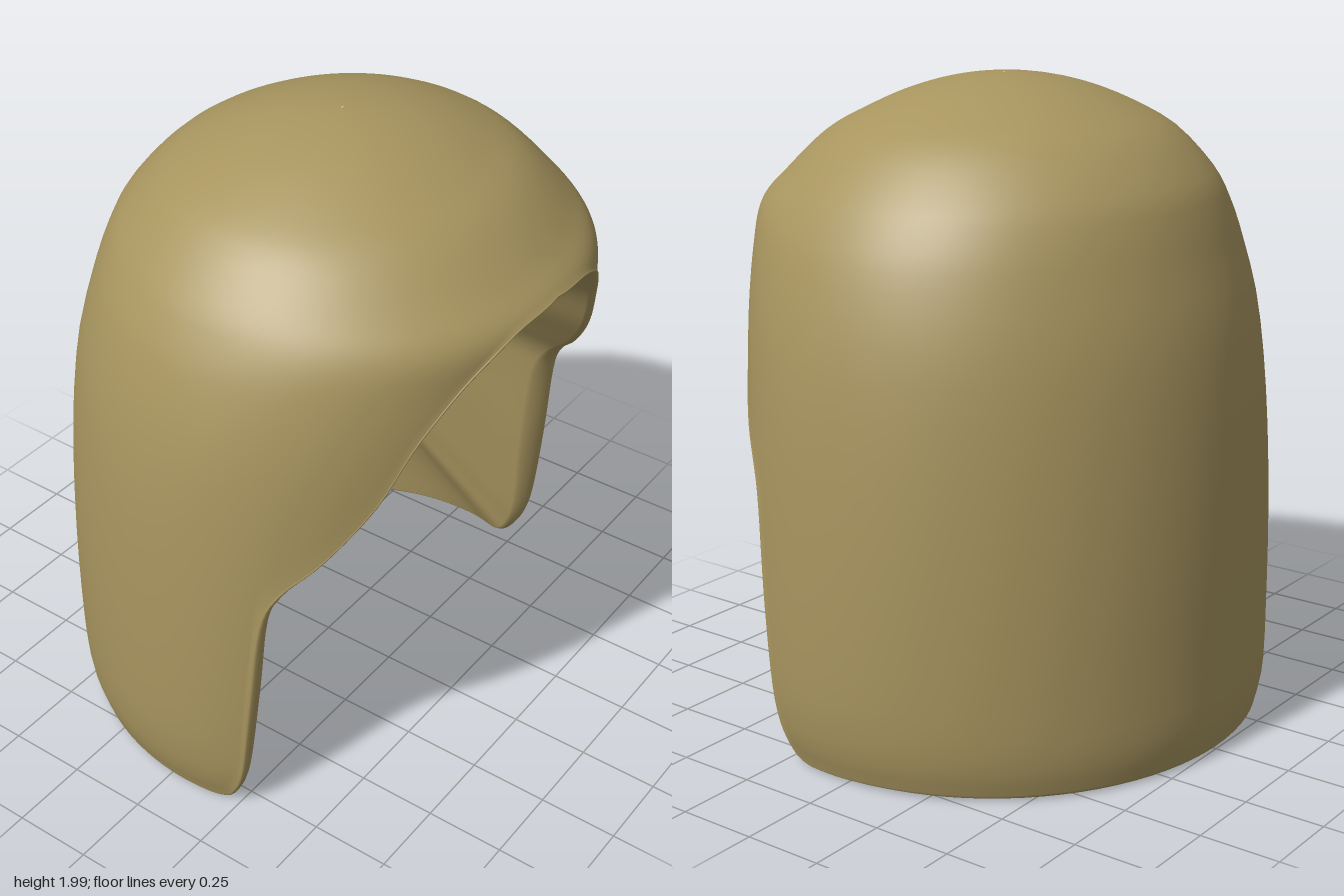
import * as THREE from 'three';

const CZ = 0.05; // z of the dome's axis

// Outer shell sections: height, half width, depth to the back, depth to the front.
// The first row mirrors the third so that the crown is round.
const sections = [
  [1.988, -0.15, -0.14, -0.14], [2.0, 0, 0, 0], [1.988, 0.15, 0.14, 0.14], [1.952, 0.3, 0.275, 0.275],
  [1.895, 0.44, 0.405, 0.405], [1.825, 0.56, 0.52, 0.53], [1.71, 0.67, 0.625, 0.655], [1.62, 0.73, 0.668, 0.74],
  [1.5, 0.785, 0.705, 0.745], [1.29, 0.84, 0.76, 0.735], [1.0, 0.873, 0.795, 0.72], [0.65, 0.887, 0.815, 0.72],
  [0.3, 0.885, 0.82, 0.72], [0.12, 0.868, 0.82, 0.72], [0.01, 0.835, 0.8, 0.7],
];
const CROWN = 1 / (sections.length - 1);

// Half of the border, front to back: angle, height, lip thickness, matching point on the inner back panel
const border = [
  [0, 1.64, 0.03, 0, 1.29], [15.5, 1.615, 0.03, 0.12, 1.29], [26, 1.53, 0.03, 0.22, 1.285],
  [35.5, 1.375, 0.03, 0.3, 1.27], [43, 1.18, 0.03, 0.335, 1.25], [53, 1.01, 0.035, 0.36, 1.2],
  [62, 0.9, 0.06, 0.38, 1.15], [66.5, 0.78, 0.09, 0.395, 1.12], [69, 0.49, 0.1, 0.41, 1.08],
  [71.5, 0.2, 0.08, 0.42, 1.05], [75, 0.07, 0.06, 0.42, 1.04], [79, 0.024, 0.05, 0.42, 1.04],
  [88, 0.02, 0.04, 0.42, 1.04], [102, 0.025, 0.04, 0.42, 1.04], [120, 0.025, 0.04, 0.39, 1.04],
  [140, 0.025, 0.04, 0.3, 1.04], [160, 0.025, 0.04, 0.16, 1.04], [180, 0.025, 0.04, 0, 1.04],
];

const spline = (rows, pick) =>
  new THREE.CatmullRomCurve3(rows.map(r => new THREE.Vector3(...pick(r))), false, 'catmullrom', 0.5);

const sizeCurve = spline(sections, r => [r[1], r[2], r[3]]);
const heightCurve = spline(sections, r => [0, r[0], 0]);
const edgeCurve = spline(border, r => [r[0], r[1], r[2]]);
const panelCurve = spline(border, r => [r[3], r[4], -0.6]);

// Point on the outer shell at curve parameter t and angle phi
function shellPoint(t, phi) {
  const s = sizeCurve.getPoint(t), c = Math.cos(phi);
  return new THREE.Vector3(s.x * Math.sin(phi), heightCurve.getPoint(t).y, CZ + c * (c > 0 ? s.z : s.y));
}

// Curve parameter for a given height
function paramAt(y) {
  let lo = CROWN, hi = 1;
  for (let k = 0; k < 30; k++) {
    const mid = (lo + hi) / 2;
    if (heightCurve.getPoint(mid).y > y) lo = mid; else hi = mid;
  }
  return lo;
}

// One strip from the crown down to the border, round the lip and along the lining to the panel
function column(u, side) {
  const OUTER = 36, LIP = 8, INNER = 16, pts = [];
  const e = edgeCurve.getPoint(u);
  const phi = side * THREE.MathUtils.degToRad(e.x);
  const tEnd = paramAt(e.y);
  for (let j = 0; j <= OUTER; j++) {
    pts.push(shellPoint(THREE.MathUtils.lerp(CROWN, tEnd, Math.max(0.002, j / OUTER)), phi));
  }

  const edge = pts[OUTER];
  const end = panelCurve.getPoint(u);
  end.x *= side;
  const inward = new THREE.Vector3(0, edge.y - 0.9 * THREE.MathUtils.smoothstep(edge.y, 0.8, 1.6), CZ)
    .sub(edge).normalize();
  const outward = edge.clone().sub(end).normalize();
  const start = edge.clone().addScaledVector(inward, e.z);
  for (let j = 1; j <= LIP; j++) {
    const a = Math.PI * j / LIP;
    pts.push(edge.clone().addScaledVector(inward, e.z * (1 - Math.cos(a)) / 2)
      .addScaledVector(outward, e.z * 0.35 * Math.sin(a)));
  }

  // Lining: hugs the shell at the back, runs nearly straight along the sides and under the brow
  const mid = start.clone().add(end).multiplyScalar(0.5);
  const wall = shellPoint(paramAt(mid.y), Math.atan2(mid.x, mid.z - CZ));
  const hug = 0.1 + 0.35 * THREE.MathUtils.smoothstep(e.x, 85, 130);
  const lining = new THREE.QuadraticBezierCurve3(start, mid.lerp(wall, hug), end);
  for (let j = 1; j <= INNER; j++) pts.push(lining.getPoint(j / INNER));
  return pts;
}

export function createModel() {
  const group = new THREE.Group();
  group.name = 'hood';
  const material = new THREE.MeshStandardMaterial({ color: 0xa8955f });

  // Mirrored columns joined into one closed band
  const HALF = 85, columns = [];
  for (let i = -HALF; i < HALF; i++) columns.push(column(Math.abs(i) / HALF, i < 0 ? -1 : 1));
  const n = columns.length, rows = columns[0].length;
  const positions = [], index = [];
  columns.forEach((col, i) => {
    const next = (i + 1) % n;
    col.forEach((p, j) => {
      positions.push(p.x, p.y, p.z);
      if (j === rows - 1) return;
      const a = i * rows + j, b = next * rows + j;
      index.push(a, a + 1, b, b, a + 1, b + 1);
    });
  });
  const geometry = new THREE.BufferGeometry();
  geometry.setAttribute('position', new THREE.Float32BufferAttribute(positions, 3));
  geometry.setIndex(index);
  geometry.computeVertexNormals();
  const shell = new THREE.Mesh(geometry, material);
  shell.name = 'hoodShell';
  group.add(shell);

  // Flat panel closing the lining at the back
  const outline = columns.map(c => new THREE.Vector2(c[rows - 1].x, c[rows - 1].y))
    .filter((p, i, all) => i === 0 || p.distanceTo(all[i - 1]) > 1e-4);
  const panel = new THREE.Mesh(new THREE.ShapeGeometry(new THREE.Shape(outline)), material);
  panel.position.z = -0.6;
  panel.name = 'innerBackPanel';
  group.add(panel);

  return group;
}
